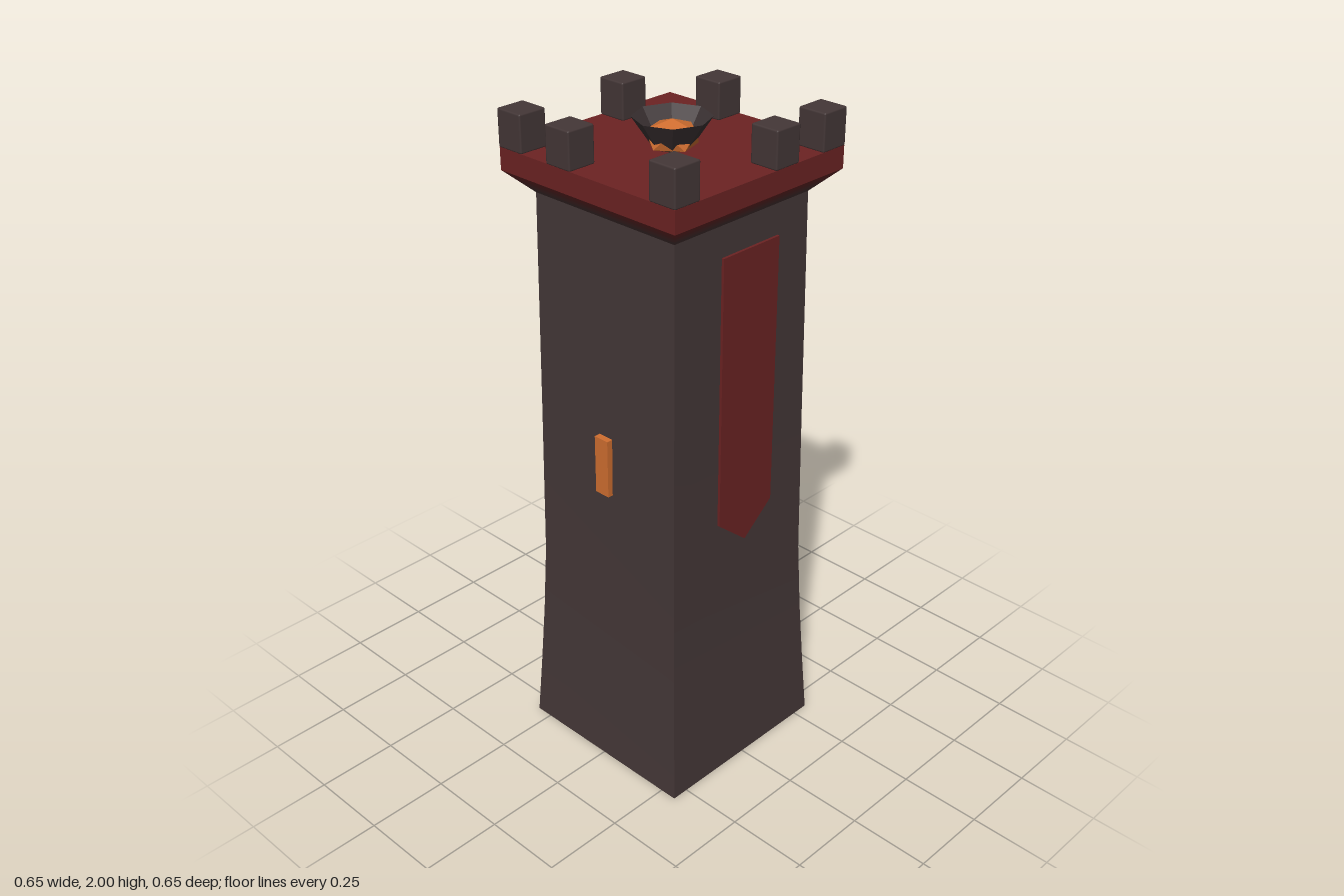
import * as THREE from 'three';
import { toCreasedNormals } from 'three/addons/utils/BufferGeometryUtils.js';
import { RoundedBoxGeometry } from 'three/addons/geometries/RoundedBoxGeometry.js';

const paint = (name, color, side = THREE.FrontSide) =>
  new THREE.MeshStandardMaterial({ name, color, side });

// Square-plan solid from [half width, height] pairs, listed bottom to top
function squareLoft(profile) {
  const points = profile.map(([half, y]) => new THREE.Vector2(half * Math.SQRT2, y));
  return toCreasedNormals(new THREE.LatheGeometry(points, 4, Math.PI / 4), 0.5);
}

export function createModel() {
  const group = new THREE.Group();
  const stone = paint('dark stone', 0x443737);
  const red = paint('deep red', 0x6c2323);
  const orange = paint('fire orange', 0xd06e30);
  const iron = paint('dark iron', 0x3c3334, THREE.DoubleSide);

  function add(name, geometry, material, x = 0, y = 0, z = 0) {
    const mesh = new THREE.Mesh(geometry, material);
    mesh.name = name;
    mesh.position.set(x, y, z);
    group.add(mesh);
    return mesh;
  }

  // Tower shaft with a flared foot
  add('shaft', squareLoft([
    [0, 0], [0.303, 0], [0.291, 0.2], [0.28, 0.4], [0.271, 0.62], [0.265, 1.1], [0.258, 1.765],
  ]), stone);

  // Sloping corbel, blending from stone to red in bands
  const bands = 4;
  for (let i = 0; i < bands; i++) {
    const at = (t) => [THREE.MathUtils.lerp(0.258, 0.322, t), THREE.MathUtils.lerp(1.765, 1.828, t)];
    const tint = stone.color.clone().lerp(red.color, (i + 0.5) / bands);
    add('corbelBand', squareLoft([at(i / bands), at((i + 1) / bands)]),
      paint('corbel tint ' + (i + 1), tint.getHex()));
  }

  // Roof slab
  add('roofSlab', squareLoft([[0.322, 1.828], [0.322, 1.893], [0, 1.893]]), red);

  // Battlements, with gaps where blocks are missing
  const merlon = new RoundedBoxGeometry(0.09, 0.108, 0.09, 1, 0.005);
  const places = [
    [-0.279, -0.279], [0.092, -0.279],
    [-0.279, -0.094], [0.279, -0.094],
    [-0.279, 0.279], [0.092, 0.279], [0.279, 0.279],
  ];
  for (const [x, z] of places) add('merlon', merlon, stone, x, 1.946, z);

  // Fire bowl
  const bowl = new THREE.CylinderGeometry(0.11, 0.052, 0.085, 8, 1, true);
  add('fireBowl', toCreasedNormals(bowl, 0.3), iron, 0, 1.9325, 0);

  // Glowing embers: a squashed icosahedron standing on one corner
  const embers = new THREE.IcosahedronGeometry(0.08, 0);
  embers.rotateZ(-Math.atan(2 / (1 + Math.sqrt(5))));
  embers.scale(1, 0.6, 1);
  embers.computeVertexNormals();
  add('embers', embers, orange, 0, 1.92, 0);

  // Lit windows on both sides and the back
  const pane = new THREE.BoxGeometry(0.05, 0.18, 0.04);
  for (const angle of [Math.PI / 2, Math.PI, -Math.PI / 2]) {
    const win = add('window', pane, orange, Math.sin(angle) * 0.264, 1.025, Math.cos(angle) * 0.264);
    win.rotation.y = angle;
  }

  // Pointed banner hanging just off the front wall
  const cloth = new THREE.Shape([
    [-0.108, 1.69], [-0.108, 0.875], [0, 0.785], [0.108, 0.875], [0.108, 1.69],
  ].map(([x, y]) => new THREE.Vector2(x, y)));
  add('banner', new THREE.ExtrudeGeometry(cloth, { depth: 0.008, bevelEnabled: false }), red, 0, 0, 0.282);

  return group;
}
